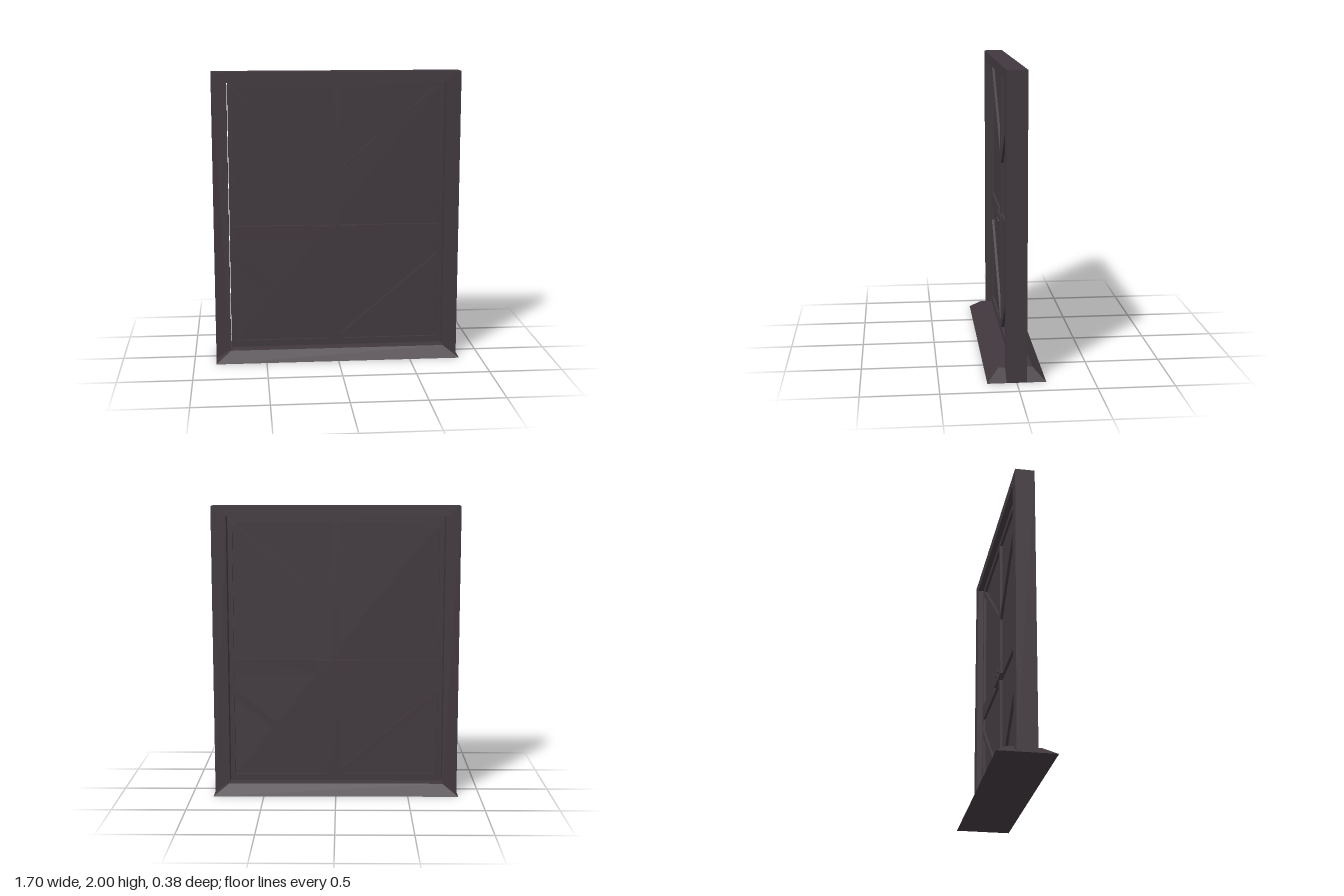
import * as THREE from 'three';

const paintedSteel = new THREE.MeshStandardMaterial({ color: 0x41383e });
paintedSteel.name = 'dark painted steel';

function part(name, geometry, x = 0, y = 0, z = 0) {
  const mesh = new THREE.Mesh(geometry, paintedSteel);
  mesh.name = name;
  mesh.position.set(x, y, z);
  return mesh;
}

const polygon = (points) => points.map(([x, y]) => new THREE.Vector2(x, y));

// Flat outline with holes, extruded symmetrically about z = 0
function slab(outline, holes, depth) {
  const shape = new THREE.Shape(polygon(outline));
  for (const h of holes) shape.holes.push(new THREE.Path(polygon(h)));
  return new THREE.ExtrudeGeometry(shape, { depth, bevelEnabled: false }).translate(0, 0, -depth / 2);
}

export function createModel() {
  const group = new THREE.Group();
  group.name = 'framedDoor';

  // Frame: two posts and a head
  group.add(part('frame', slab([
    [-0.85, 0], [-0.747, 0], [-0.747, 1.93], [0.747, 1.93],
    [0.747, 0], [0.85, 0], [0.85, 2], [-0.85, 2],
  ], [], 0.132)));

  // Threshold ramp: a box with its top drawn in
  const ramp = new THREE.BoxGeometry(1.7, 0.07, 0.38);
  const p = ramp.attributes.position;
  for (let i = 0; i < p.count; i++) {
    if (p.getY(i) > 0) {
      p.setX(i, Math.sign(p.getX(i)) * 0.747);
      p.setZ(i, Math.sign(p.getZ(i)) * 0.11);
    }
  }
  ramp.computeVertexNormals();
  group.add(part('threshold', ramp, 0, 0.035, 0));

  // Door lattice: openings of one half, mirrored to the other
  const openings = [
    [[0.68, 1.89], [0.028, 1.89], [0.028, 1.345]],
    [[0.71, 1.865], [0.71, 0.935], [0.028, 0.935], [0.028, 1.29]],
    [[0.71, 0.825], [0.71, 0.725], [0.028, 0.15], [0.028, 0.825]],
    [[0.71, 0.67], [0.71, 0.115], [0.05, 0.115]],
  ];
  const mirrored = openings.map((h) => h.map(([x, y]) => [-x, y]));
  group.add(part('doorRailsAndBraces', slab(
    [[-0.742, 0.07], [0.742, 0.07], [0.742, 1.93], [-0.742, 1.93]],
    [...openings, ...mirrored], 0.05)));

  // Thin sheet closing the openings
  group.add(part('doorPanel', new THREE.BoxGeometry(1.46, 1.84, 0.014), 0, 1, 0));

  // Paired lock plates with round studs, on both faces
  for (const face of [1, -1]) {
    for (const side of [1, -1]) {
      group.add(part('lockPlate', new THREE.BoxGeometry(0.129, 0.1, 0.016), side * 0.0665, 0.88, face * 0.032));
      const stud = new THREE.CylinderGeometry(0.014, 0.014, 0.008, 16).rotateX(Math.PI / 2);
      group.add(part('lockStud', stud, side * 0.034, 0.88, face * 0.042));
    }
  }
  return group;
}
